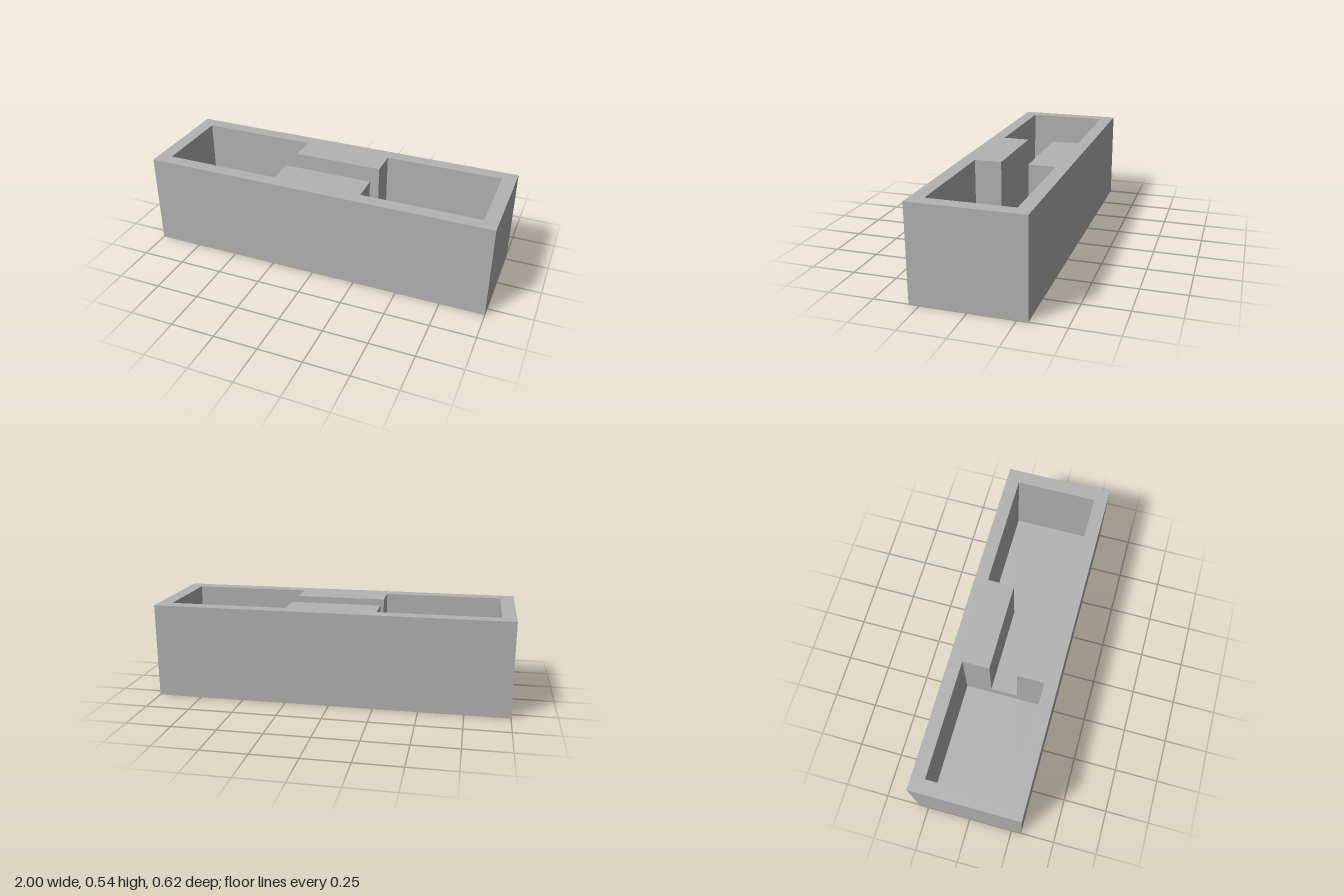
import * as THREE from 'three';

const LENGTH = 2, HEIGHT = 0.535, DEPTH = 0.615;
const FLOOR = 0.08, CHANNEL_FLOOR = 0.15;
const POCKET_OUT = 0.922, POCKET_IN = 0.255, POCKET_HALF = 0.232, CHANNEL_HALF = 0.078;

export function createModel() {
  const group = new THREE.Group();
  group.name = 'trough';
  const grey = new THREE.MeshStandardMaterial({ color: 0xb3b3b3 });
  grey.name = 'grey';

  const add = (name, geometry, y) => {
    const mesh = new THREE.Mesh(geometry, grey);
    mesh.name = name;
    mesh.position.y = y;
    group.add(mesh);
  };

  // Solid base under both pockets
  add('base', new THREE.BoxGeometry(LENGTH, FLOOR, DEPTH), FLOOR / 2);

  // Walls: a rectangle with two pockets joined by a narrow channel cut out
  const x = LENGTH / 2, z = DEPTH / 2;
  const outline = new THREE.Shape(
    [[-x, -z], [x, -z], [x, z], [-x, z]].map(p => new THREE.Vector2(...p)));
  const half = [
    [POCKET_IN, -CHANNEL_HALF], [POCKET_IN, -POCKET_HALF], [POCKET_OUT, -POCKET_HALF],
    [POCKET_OUT, POCKET_HALF], [POCKET_IN, POCKET_HALF], [POCKET_IN, CHANNEL_HALF],
  ];
  const cutout = [...half, ...half.map(([a, b]) => [-a, -b])];
  outline.holes.push(new THREE.Path(cutout.map(p => new THREE.Vector2(...p))));
  const walls = new THREE.ExtrudeGeometry(outline, { depth: HEIGHT - FLOOR, bevelEnabled: false });
  walls.rotateX(-Math.PI / 2);
  add('walls', walls, FLOOR);

  // Raised floor of the connecting channel
  const step = CHANNEL_FLOOR - FLOOR;
  add('channelFloor', new THREE.BoxGeometry(POCKET_IN * 2, step, CHANNEL_HALF * 2), FLOOR + step / 2);

  return group;
}
